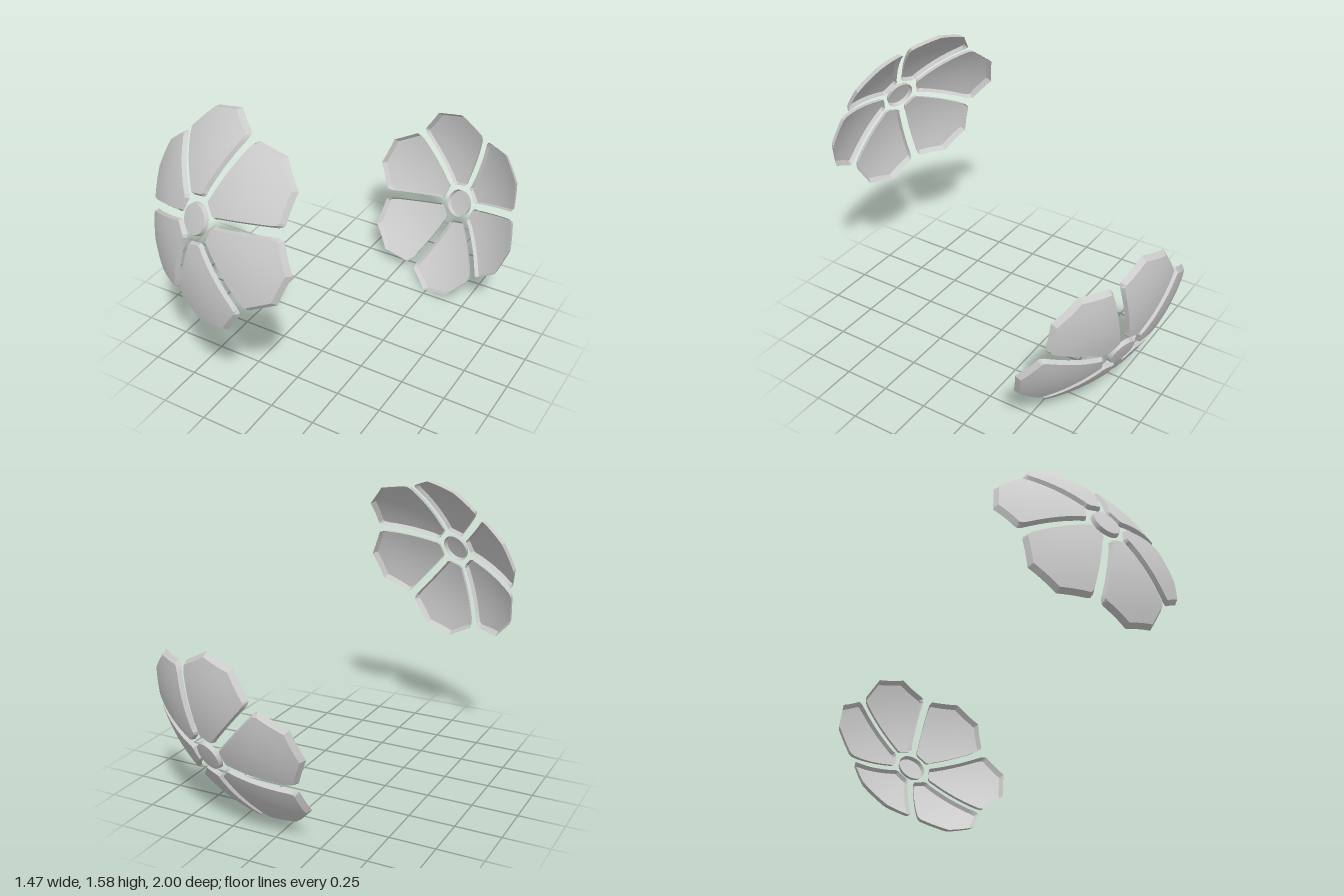
import * as THREE from 'three';
import { toCreasedNormals } from 'three/addons/utils/BufferGeometryUtils.js';

const grey = new THREE.MeshStandardMaterial({ color: 0xcccccc, side: THREE.DoubleSide });
grey.name = 'plain grey';

// Split the edges of a closed outline so that it can follow the sphere
function subdivide(corners, step) {
  const out = [];
  corners.forEach(([x, y], i) => {
    const [x2, y2] = corners[(i + 1) % corners.length];
    const n = Math.max(1, Math.round(Math.hypot(x2 - x, y2 - y) / step));
    for (let k = 0; k < n; k++) out.push([x + (x2 - x) * k / n, y + (y2 - y) * k / n]);
  });
  return out;
}

// Move a counter-clockwise outline inwards by the width given at each x
function inset(pts, width) {
  const n = pts.length;
  const normal = (a, b) => {
    const l = Math.hypot(b[0] - a[0], b[1] - a[1]);
    return [-(b[1] - a[1]) / l, (b[0] - a[0]) / l];
  };
  return pts.map((p, i) => {
    const a = normal(pts[(i + n - 1) % n], p), b = normal(p, pts[(i + 1) % n]);
    const k = width(p[0]) / (1 + a[0] * b[0] + a[1] * b[1]);
    return [p[0] + (a[0] + b[0]) * k, p[1] + (a[1] + b[1]) * k];
  });
}

// Thin open shell on the unit sphere around +z, with its edge bent inwards
function panelGeometry(outline, cx, width) {
  const face = inset(outline, width);
  const shrink = (t) => face.map(([x, y]) => [cx + (x - cx) * t, y * t]);
  const rings = [
    ...[0, 0.25, 0.5, 0.75, 1].map((t) => [shrink(t), 1]),
    [outline, 0.978],
  ];
  const n = outline.length, pos = [], idx = [];
  for (const [ring, r] of rings) {
    for (const [x, y] of ring) pos.push(x * r, y * r, Math.sqrt(1 - x * x - y * y) * r);
  }
  for (let i = 0; i < rings.length - 1; i++) {
    for (let j = 0; j < n; j++) {
      const a = i * n + j, b = i * n + (j + 1) % n, c = a + n, d = b + n;
      idx.push(a, c, d);
      if (i > 0) idx.push(a, d, b);
    }
  }
  const g = new THREE.BufferGeometry();
  g.setAttribute('position', new THREE.Float32BufferAttribute(pos, 3));
  g.setIndex(idx);
  return toCreasedNormals(g, 0.35);
}

export function createModel() {
  const model = new THREE.Group();
  model.name = 'pairOfFlowerShells';

  // Petal outline: blunt tip at the hub, four blunt corners at the rim
  const half = [[0.54, 0.088], [0.442, 0.203], [0.43, 0.212], [0.407, 0.209], [0.14, 0.058], [0.123, 0.052], [0.111, 0.036]];
  const mirrored = half.map(([x, y]) => [x, -y]).reverse();
  // The bent edge is wider at the rim than along the sides
  const edgeWidth = (x) => 0.009 + 0.013 * THREE.MathUtils.smoothstep(x, 0.38, 0.45);
  const petalGeo = panelGeometry(subdivide([...half, ...mirrored], 0.03), 0.33, edgeWidth);

  const circle = [];
  for (let i = 0; i < 40; i++) {
    const a = i / 40 * Math.PI * 2;
    circle.push([0.083 * Math.cos(a), 0.083 * Math.sin(a)]);
  }
  const hubGeo = panelGeometry(circle, 0, () => 0.008);

  function flower(name) {
    const g = new THREE.Group();
    g.name = name;
    const hub = new THREE.Mesh(hubGeo, grey);
    hub.name = 'hub';
    g.add(hub);
    for (let i = 0; i < 6; i++) {
      const petal = new THREE.Mesh(petalGeo, grey);
      petal.name = 'petal' + (i + 1);
      petal.rotation.z = i * Math.PI / 3;
      g.add(petal);
    }
    g.position.y = 0.79;
    model.add(g);
    return g;
  }

  // Tilt of the front flower on the sphere
  const n = new THREE.Vector3(-0.288, 0.355, 0.89).normalize();
  const e1 = new THREE.Vector3(n.z, 0, -n.x).normalize();
  const e2 = n.clone().cross(e1);
  const tilt = new THREE.Quaternion().setFromRotationMatrix(new THREE.Matrix4().makeBasis(e1, e2, n));
  tilt.multiply(new THREE.Quaternion().setFromAxisAngle(new THREE.Vector3(0, 0, 1), -14.5 * Math.PI / 180));

  flower('frontFlower').quaternion.copy(tilt);

  // The back flower sits on the opposite side of the sphere
  const flip = new THREE.Quaternion().setFromAxisAngle(new THREE.Vector3(1, 0, 0), Math.PI);
  flower('backFlower').quaternion.copy(tilt).multiply(flip);

  return model;
}
